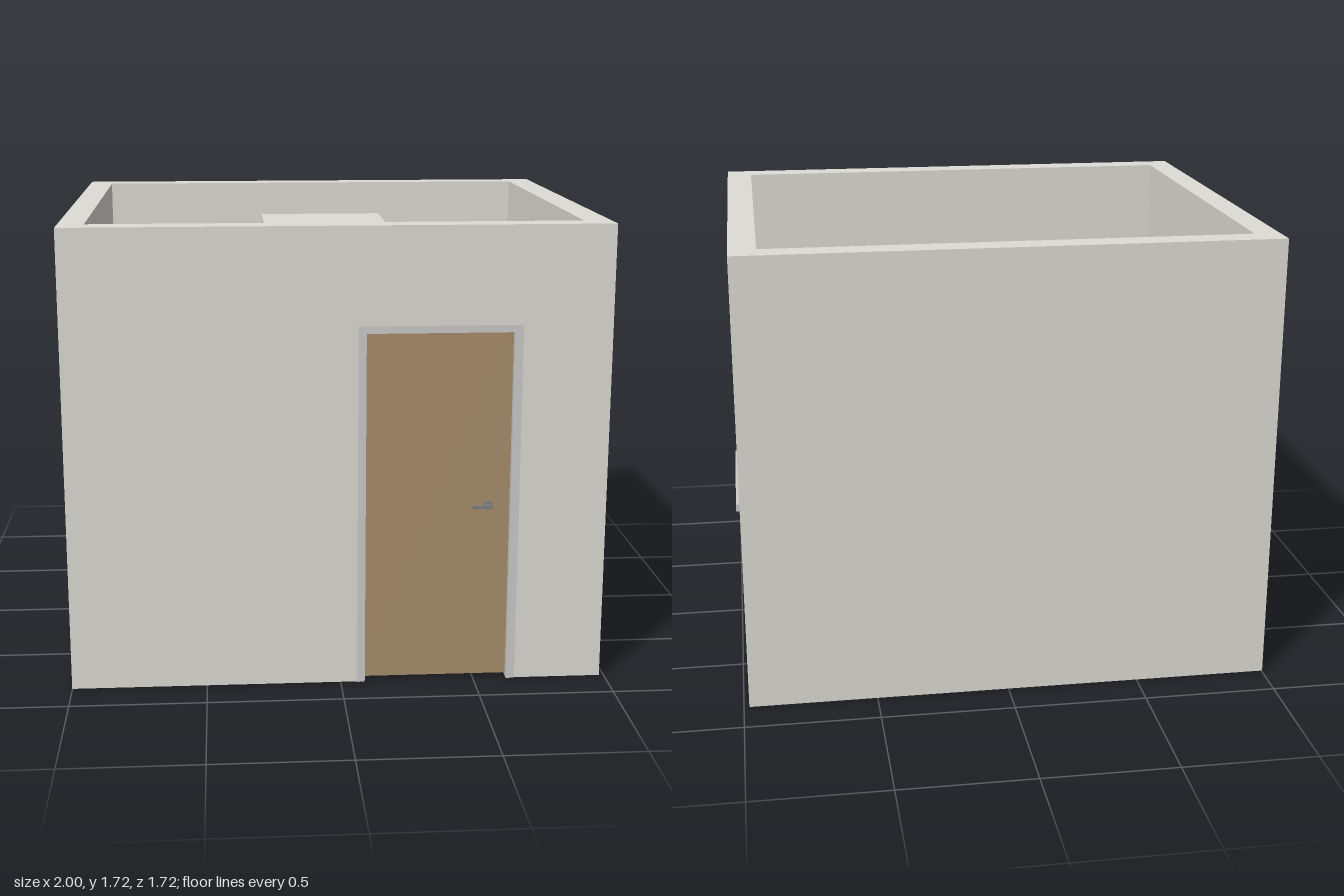
import * as THREE from 'three';

const mat = (color, opts = {}) => new THREE.MeshStandardMaterial({ color, ...opts });
const WALL = mat(0xdedcd5), FLOOR = mat(0xc2b8ab), GREY = mat(0xcccccc);
const DOOR = mat(0xa88e6c), GLASS = mat(0x8ac0d3), DARK = mat(0x808080);
const CERAMIC = mat(0xcccccc, { side: THREE.DoubleSide, flatShading: true });
const BOWL = mat(0x8c8c8c, { side: THREE.DoubleSide });

function add(parent, name, geometry, material, x = 0, y = 0, z = 0) {
  const m = new THREE.Mesh(geometry, material);
  m.name = name;
  m.position.set(x, y, z);
  parent.add(m);
  return m;
}

// Box given by its limits along each axis
function box(parent, name, material, x0, x1, y0, y1, z0, z1) {
  return add(parent, name, new THREE.BoxGeometry(x1 - x0, y1 - y0, z1 - z0), material,
    (x0 + x1) / 2, (y0 + y1) / 2, (z0 + z1) / 2);
}

const polygon = (pts) => new THREE.Shape(pts.map(([x, y]) => new THREE.Vector2(x, y)));

const extrude = (shape, depth) =>
  new THREE.ExtrudeGeometry(shape, { depth, bevelEnabled: false, curveSegments: 20 });

// Horizontal slab with an elliptical hole; outline in (x, z)
function slab(outline, hole, y0, y1) {
  const s = polygon(outline.map(([x, z]) => [x, -z]));
  const h = new THREE.Path();
  h.absellipse(hole[0], -hole[1], hole[2], hole[3], 0, Math.PI * 2, false, 0);
  s.holes.push(h);
  return extrude(s, y1 - y0).rotateX(-Math.PI / 2).translate(0, y0, 0);
}

// Skin through elliptical rings [y, centreZ, radiusX, radiusZ], listed upwards
function loft(rings, n = 28) {
  const pos = [], idx = [];
  rings.forEach(([y, cz, rx, rz], r) => {
    for (let i = 0; i < n; i++) {
      const a = (i / n) * Math.PI * 2, j = (i + 1) % n;
      pos.push(Math.sin(a) * rx, y, cz + Math.cos(a) * rz);
      if (r) {
        const p = (r - 1) * n, q = r * n;
        idx.push(p + i, p + j, q + i, p + j, q + j, q + i);
      }
    }
  });
  const g = new THREE.BufferGeometry();
  g.setAttribute('position', new THREE.Float32BufferAttribute(pos, 3));
  g.setIndex(idx);
  g.computeVertexNormals();
  return g;
}

function makeRoom() {
  const g = new THREE.Group();
  g.name = 'room';
  const y0 = 0.013, y1 = 1.725;
  box(g, 'floor', FLOOR, -0.905, 0.88, 0.008, 0.02, -0.76, 0.755);
  box(g, 'backWall', WALL, -1, 0.98, y0, y1, -0.86, -0.76);
  box(g, 'leftSideWall', WALL, -1, -0.905, y0, y1, -0.76, 0.755);
  // Front wall notched for the door
  const front = polygon([[-1, y0], [0.06, y0], [0.06, 1.365], [0.655, 1.365],
    [0.655, y0], [0.98, y0], [0.98, y1], [-1, y1]]);
  add(g, 'frontWall', extrude(front, 0.1), WALL, 0, 0, 0.755);
  // Window wall, drawn along -z
  const side = polygon([[-0.755, y0], [0.76, y0], [0.76, y1], [-0.755, y1]]);
  side.holes.push(polygon([[-0.275, 0.6], [0.32, 0.6], [0.32, 1.4], [-0.275, 1.4]]));
  add(g, 'windowWall', extrude(side, 0.1).rotateY(Math.PI / 2), WALL, 0.88, 0, 0);
  box(g, 'cabinBlock', WALL, -0.24, 0.285, 0.02, 1.585, -0.76, -0.235);
  return g;
}

function makeDoor() {
  const g = new THREE.Group();
  g.name = 'door';
  for (const x of [0.06, 0.625]) box(g, 'doorJamb', GREY, x, x + 0.03, 0.008, 1.365, 0.785, 0.848);
  box(g, 'doorHead', GREY, 0.09, 0.625, 1.337, 1.365, 0.785, 0.848);
  box(g, 'doorPanel', DOOR, 0.09, 0.625, 0.02, 1.337, 0.795, 0.822);
  // Lever handles on both faces
  for (const [z, s] of [[0.822, 1], [0.795, -1]]) {
    add(g, 'handleRose', new THREE.CylinderGeometry(0.017, 0.017, 0.008, 16).rotateX(Math.PI / 2),
      DARK, 0.545, 0.685, z + s * 0.004);
    add(g, 'handleNeck', new THREE.CylinderGeometry(0.008, 0.008, 0.026, 12).rotateX(Math.PI / 2),
      DARK, 0.545, 0.685, z + s * 0.015);
    add(g, 'handleLever', new THREE.BoxGeometry(0.072, 0.013, 0.01), DARK, 0.52, 0.685, z + s * 0.028);
  }
  return g;
}

function makeWindow() {
  const g = new THREE.Group();
  g.name = 'window';
  const a = 0.905, b = 0.945;
  box(g, 'windowSill', GREY, 0.86, 1, 0.59, 0.62, -0.34, 0.29);
  for (const z of [-0.32, 0.245]) box(g, 'windowJamb', GREY, a, b, 0.62, 1.4, z, z + 0.03);
  box(g, 'windowMullion', GREY, a, b, 0.635, 1.37, -0.036, -0.014);
  box(g, 'windowHead', GREY, a, b, 1.37, 1.4, -0.29, 0.245);
  box(g, 'windowBottomRail', GREY, a, b, 0.62, 0.637, -0.29, 0.245);
  for (const [z0, z1] of [[-0.29, -0.036], [-0.014, 0.245]])
    box(g, 'windowPane', GLASS, 0.92, 0.93, 0.637, 1.37, z0, z1);
  return g;
}

function makeToilet() {
  const g = new THREE.Group();
  g.name = 'toilet';
  // Rim deck: round bowl narrowing to a rounded tail
  const outline = [];
  for (let i = 0; i <= 24; i++) {
    const t = (-40 + (i / 24) * 260) * Math.PI / 180;
    outline.push([Math.cos(t) * 0.13, -Math.sin(t) * 0.155]);
  }
  outline.push([-0.065, 0.18], [-0.06, 0.26], [-0.045, 0.3], [0, 0.312], [0.045, 0.3], [0.06, 0.26], [0.065, 0.18]);
  add(g, 'toiletRim', slab(outline, [0, 0, 0.098, 0.125], 0.25, 0.28), DARK);
  add(g, 'toiletBowl', loft([[0.12, 0.07, 0.001, 0.001], [0.12, 0.07, 0.03, 0.035],
    [0.17, 0.035, 0.065, 0.08], [0.265, 0, 0.098, 0.125]]), BOWL);
  add(g, 'toiletPedestal', loft([[0.02, 0.11, 0.085, 0.16], [0.1, 0.1, 0.07, 0.15],
    [0.18, 0.06, 0.095, 0.185], [0.25, 0.01, 0.122, 0.16]]), BOWL);
  box(g, 'toiletTail', DARK, -0.05, 0.05, 0.16, 0.25, 0.16, 0.3);
  add(g, 'flushInlet', new THREE.TorusGeometry(0.027, 0.008, 8, 20).rotateX(Math.PI / 2), DARK, 0, 0.283, 0.265);
  add(g, 'flushPlug', new THREE.CylinderGeometry(0.014, 0.014, 0.012, 16), DARK, 0, 0.284, 0.265);
  for (const x of [-0.043, 0.043])
    add(g, 'seatBolt', new THREE.CylinderGeometry(0.007, 0.007, 0.006, 10), DARK, x, 0.282, 0.165);
  g.position.set(0.02, 0, 0.25);
  g.rotation.y = -0.25;
  return g;
}

function makeSink() {
  const g = new THREE.Group();
  g.name = 'sink';
  // Half outline mirrored about the middle
  const half = [[0, -0.125], [0.085, -0.107], [0.17, -0.065], [0.192, 0.01], [0.178, 0.08], [0.142, 0.13], [0.142, 0.2]];
  const outline = [...half, ...half.slice(1).reverse().map(([x, z]) => [-x, z])];
  add(g, 'sinkRim', slab(outline, [0, 0.005, 0.16, 0.115], 0.53, 0.56), GREY);
  add(g, 'sinkBasin', loft([[0.45, 0.01, 0.001, 0.001], [0.45, 0.01, 0.04, 0.03],
    [0.48, 0.01, 0.11, 0.08], [0.55, 0.005, 0.16, 0.115]], 14), CERAMIC);
  add(g, 'sinkUnderside', loft([[0.41, 0.06, 0.06, 0.06], [0.45, 0.04, 0.12, 0.1],
    [0.53, 0.02, 0.178, 0.14]], 14), CERAMIC);
  box(g, 'sinkBack', GREY, -0.142, 0.142, 0.46, 0.53, 0.13, 0.2);
  add(g, 'sinkPedestal', loft([[0.02, 0.09, 0.075, 0.075], [0.2, 0.09, 0.055, 0.055],
    [0.43, 0.08, 0.065, 0.065]], 14), CERAMIC);
  // Mixer tap
  add(g, 'tapBody', new THREE.CylinderGeometry(0.014, 0.018, 0.06, 14), DARK, 0, 0.59, 0.16);
  add(g, 'tapSpout', new THREE.BoxGeometry(0.016, 0.014, 0.06), DARK, 0, 0.6, 0.135);
  add(g, 'tapLever', new THREE.BoxGeometry(0.03, 0.008, 0.04), DARK, 0, 0.625, 0.155);
  g.position.set(-0.577, 0, 0.39);
  return g;
}

function makeWasher() {
  const g = new THREE.Group();
  g.name = 'washingMachine';
  box(g, 'washerBody', GREY, 0.485, 0.875, 0.02, 0.575, 0.2, 0.555);
  box(g, 'washerControlPanel', DARK, 0.49, 0.87, 0.49, 0.565, 0.192, 0.2);
  // Round loading door facing the room
  add(g, 'washerDoorRing', new THREE.TorusGeometry(0.12, 0.018, 10, 32), GREY, 0.67, 0.3, 0.187);
  add(g, 'washerDoorGlass', new THREE.SphereGeometry(0.112, 24, 8, 0, Math.PI * 2, 0, Math.PI / 2)
    .scale(1, 0.2, 1).rotateX(-Math.PI / 2), DARK, 0.67, 0.3, 0.192);
  for (const x of [0.62, 0.67, 0.8])
    add(g, 'washerKnob', new THREE.CylinderGeometry(0.018, 0.018, 0.015, 16).rotateX(Math.PI / 2), GREY, x, 0.527, 0.187);
  return g;
}

export function createModel() {
  const model = new THREE.Group();
  model.name = 'bathroom';
  model.add(makeRoom(), makeDoor(), makeWindow(), makeToilet(), makeSink(), makeWasher());
  return model;
}
